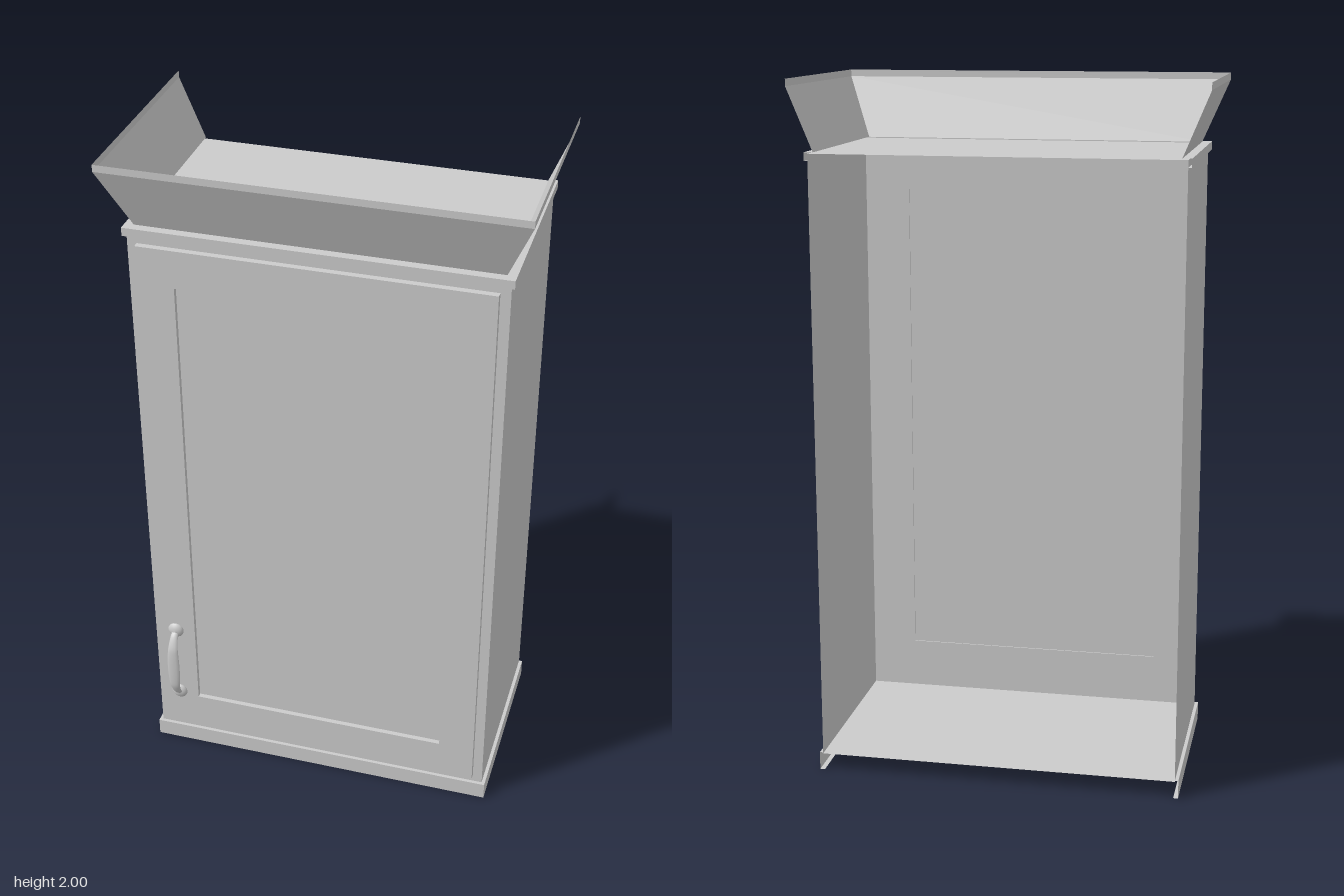
import * as THREE from 'three';

const HX = 0.518, ZF = 0.26, ZB = -0.325; // carcass half width, front and back
const FLOOR = 0.05, TOP = 1.8;

const mat = new THREE.MeshStandardMaterial({ color: 0xcccccc, side: THREE.DoubleSide });

function add(parent, name, geometry, x = 0, y = 0, z = 0) {
  const mesh = new THREE.Mesh(geometry, mat);
  mesh.name = name;
  mesh.position.set(x, y, z);
  parent.add(mesh);
  return mesh;
}

// Sweep a profile of [outward offset, y] round left, front and right sides, mitred at the corners
function mouldingU(profile) {
  const rail = ([o, y]) => [
    [-HX - o, y, ZB], [-HX - o, y, ZF + o], [HX + o, y, ZF + o], [HX + o, y, ZB],
  ];
  const pos = [];
  for (let i = 0; i < profile.length - 1; i++) {
    const a = rail(profile[i]), b = rail(profile[i + 1]);
    for (let k = 0; k < 3; k++) {
      pos.push(...a[k], ...a[k + 1], ...b[k + 1], ...a[k], ...b[k + 1], ...b[k]);
    }
  }
  const g = new THREE.BufferGeometry();
  g.setAttribute('position', new THREE.Float32BufferAttribute(pos, 3));
  g.computeVertexNormals();
  return g;
}

// Upright rectangle with a rectangular opening
function frameShape(hx, y0, y1, ix, iy0, iy1) {
  const rect = (P, w, a, b) => new P([
    new THREE.Vector2(-w, a), new THREE.Vector2(w, a),
    new THREE.Vector2(w, b), new THREE.Vector2(-w, b),
  ]);
  const shape = rect(THREE.Shape, hx, y0, y1);
  shape.holes.push(rect(THREE.Path, ix, iy0, iy1));
  return shape;
}

function makeHandle() {
  const handle = new THREE.Group();
  handle.name = 'handle';
  const y0 = 0.21, y1 = 0.455, zDoor = 0.28;
  // Bowed grip, broad and flat in the middle
  const path = new THREE.CatmullRomCurve3([
    [y0, 0.28], [y0 + 0.008, 0.295], [y0 + 0.045, 0.315], [0.28, 0.319],
    [0.385, 0.319], [y1 - 0.045, 0.315], [y1 - 0.008, 0.295], [y1, 0.28],
  ].map(([y, z]) => new THREE.Vector3(0, y, z)));
  const grip = new THREE.TubeGeometry(path, 40, 0.006, 12, false);
  const p = grip.attributes.position;
  for (let i = 0; i < p.count; i++) {
    const t = THREE.MathUtils.clamp((p.getY(i) - y0) / (y1 - y0), 0, 1);
    p.setX(i, p.getX(i) * (1.7 + 1.5 * Math.sin(Math.PI * t)));
  }
  grip.computeVertexNormals();
  add(handle, 'grip', grip);
  // Domed mounting rosettes
  const dome = [[0.024, 0], [0.024, 0.004], [0.019, 0.009], [0.011, 0.013], [0, 0.015]]
    .map(([r, h]) => new THREE.Vector2(r, h));
  for (const y of [y0, y1]) {
    add(handle, 'rosette', new THREE.LatheGeometry(dome, 20), 0, y, zDoor).rotation.x = Math.PI / 2;
  }
  handle.position.x = -0.445;
  return handle;
}

export function createModel() {
  const model = new THREE.Group();
  model.name = 'wallCabinet';

  // Open-backed carcass of thin panels
  const depth = ZF - ZB, midZ = (ZF + ZB) / 2;
  for (const s of [-1, 1]) {
    add(model, s < 0 ? 'rightSide' : 'leftSide',
      new THREE.PlaneGeometry(depth, TOP - FLOOR), s * HX, (TOP + FLOOR) / 2, midZ)
      .rotation.y = s * Math.PI / 2;
  }
  for (const [name, y] of [['bottomPanel', FLOOR], ['topPanel', TOP]]) {
    add(model, name, new THREE.PlaneGeometry(2 * HX, depth), 0, y, midZ).rotation.x = -Math.PI / 2;
  }
  add(model, 'faceFrame',
    new THREE.ShapeGeometry(frameShape(HX, FLOOR, TOP, 0.48, 0.09, 1.75)), 0, 0, ZF);

  // Door: raised frame round a recessed panel
  const door = new THREE.Group();
  door.name = 'door';
  add(door, 'doorFrame', new THREE.ExtrudeGeometry(
    frameShape(0.49, 0.08, 1.76, 0.385, 0.197, 1.648), { depth: 0.018, bevelEnabled: false }), 0, 0, 0.262);
  add(door, 'doorPanel', new THREE.PlaneGeometry(0.77, 1.451), 0, 0.9225, 0.266);
  door.add(makeHandle());
  model.add(door);

  // Mouldings: plinth, top band and flared crown with upright lip
  add(model, 'plinth', mouldingU([[0, 0.053], [0.01, 0.053], [0.01, 0], [-0.004, 0]]));
  add(model, 'topBand', mouldingU([[0, 1.78], [0.01, 1.78], [0.01, 1.804], [-0.016, 1.804]]));
  add(model, 'crown', mouldingU([[-0.016, 1.804], [0.057, 1.98], [0.057, 2]]));

  return model;
}
